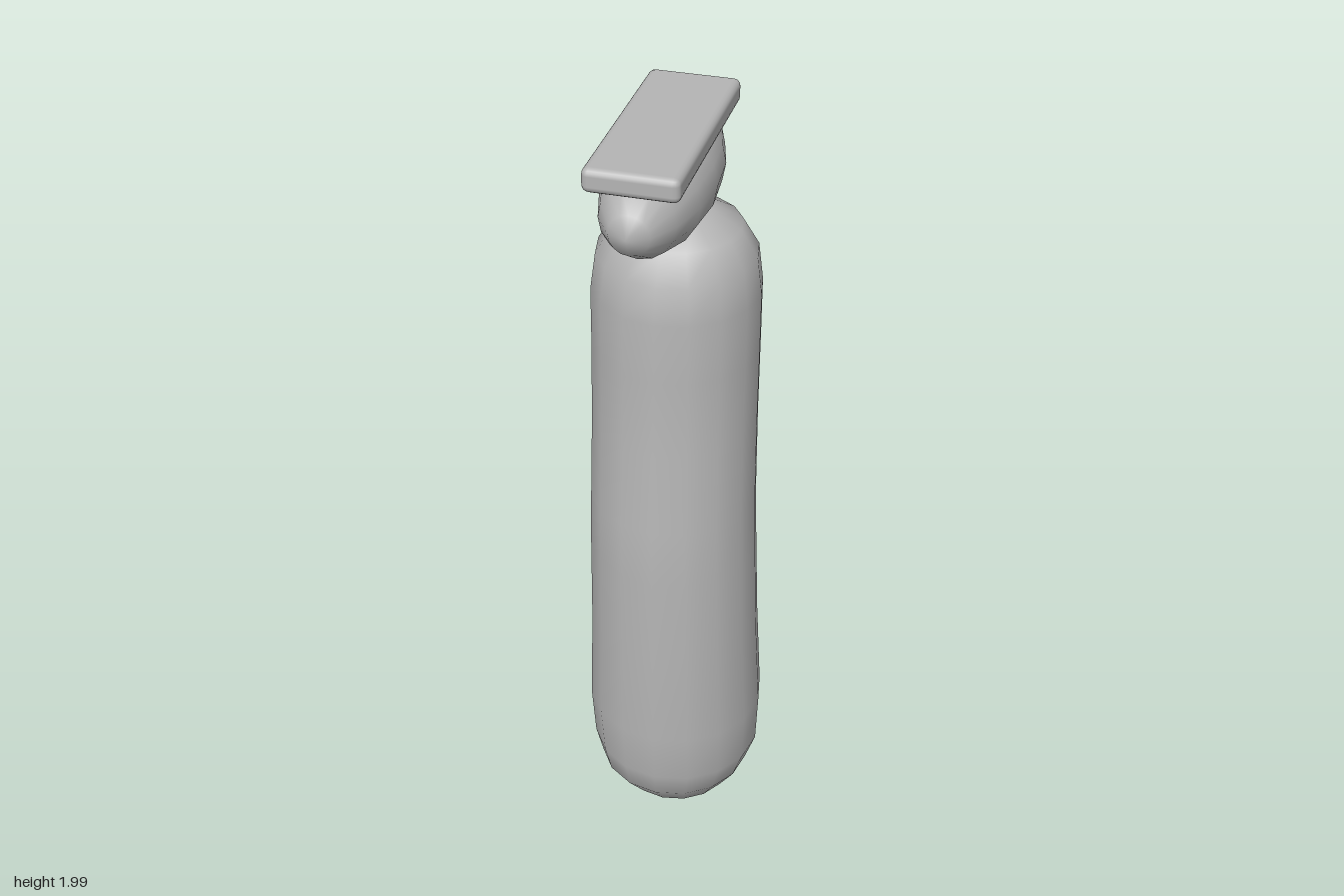
import * as THREE from 'three';
import { RoundedBoxGeometry } from 'three/addons/geometries/RoundedBoxGeometry.js';

const SIDES = 16;

// Closed smooth tube through elliptical rings: [y, centreX, centreZ, radiusX, radiusZ]
function loft(rings) {
  const pos = [], idx = [];
  for (const [y, cx, cz, rx, rz] of rings) {
    for (let i = 0; i < SIDES; i++) {
      const a = (i / SIDES) * Math.PI * 2;
      pos.push(cx + rx * Math.sin(a), y, cz + rz * Math.cos(a));
    }
  }
  for (let r = 0; r < rings.length - 1; r++) {
    for (let i = 0; i < SIDES; i++) {
      const j = (i + 1) % SIDES;
      const a = r * SIDES + i, b = r * SIDES + j;
      idx.push(a, b, b + SIDES, a, b + SIDES, a + SIDES);
    }
  }
  // end caps
  const bottom = pos.length / 3, top = bottom + 1, last = (rings.length - 1) * SIDES;
  const f = rings[0], l = rings[rings.length - 1];
  pos.push(f[1], f[0] - 0.012, f[2], l[1], l[0] + 0.015, l[2]);
  for (let i = 0; i < SIDES; i++) {
    const j = (i + 1) % SIDES;
    idx.push(bottom, j, i, top, last + i, last + j);
  }
  const g = new THREE.BufferGeometry();
  g.setAttribute('position', new THREE.Float32BufferAttribute(pos, 3));
  g.setIndex(idx);
  g.computeVertexNormals();
  return g;
}

export function createModel() {
  const model = new THREE.Group();
  const grey = new THREE.MeshStandardMaterial({ color: 0xb4b4b4 });
  grey.name = 'grey';

  const add = (name, geometry, x = 0, y = 0, z = 0) => {
    const mesh = new THREE.Mesh(geometry, grey);
    mesh.name = name;
    mesh.position.set(x, y, z);
    model.add(mesh);
    return mesh;
  };

  // Tall body with a slight backward bend
  add('body', loft([
    [0.02, 0, -0.075, 0.08, 0.08],
    [0.06, 0, -0.075, 0.145, 0.145],
    [0.13, -0.005, -0.072, 0.195, 0.195],
    [0.21, 0, -0.07, 0.217, 0.217],
    [0.35, -0.002, -0.07, 0.224, 0.225],
    [0.6, -0.003, -0.063, 0.213, 0.215],
    [0.85, -0.005, -0.058, 0.207, 0.206],
    [1.0, -0.007, -0.064, 0.203, 0.204],
    [1.2, -0.01, -0.085, 0.2, 0.2],
    [1.4, -0.01, -0.095, 0.199, 0.2],
    [1.55, -0.01, -0.097, 0.199, 0.198],
    [1.64, -0.01, -0.1, 0.187, 0.187],
    [1.705, -0.01, -0.103, 0.148, 0.148],
    [1.745, -0.01, -0.108, 0.075, 0.075],
  ]));

  // Long head with its poles at front and back
  const head = new THREE.SphereGeometry(1, 16, 8);
  head.rotateX(Math.PI / 2);
  head.scale(0.12, 0.122, 0.285);
  add('head', head, -0.01, 1.868, 0.015);

  // Flat plate on top of the head
  add('topPlate', new RoundedBoxGeometry(0.21, 0.055, 0.52, 2, 0.016), -0.01, 1.9725, 0.01);

  return model;
}
